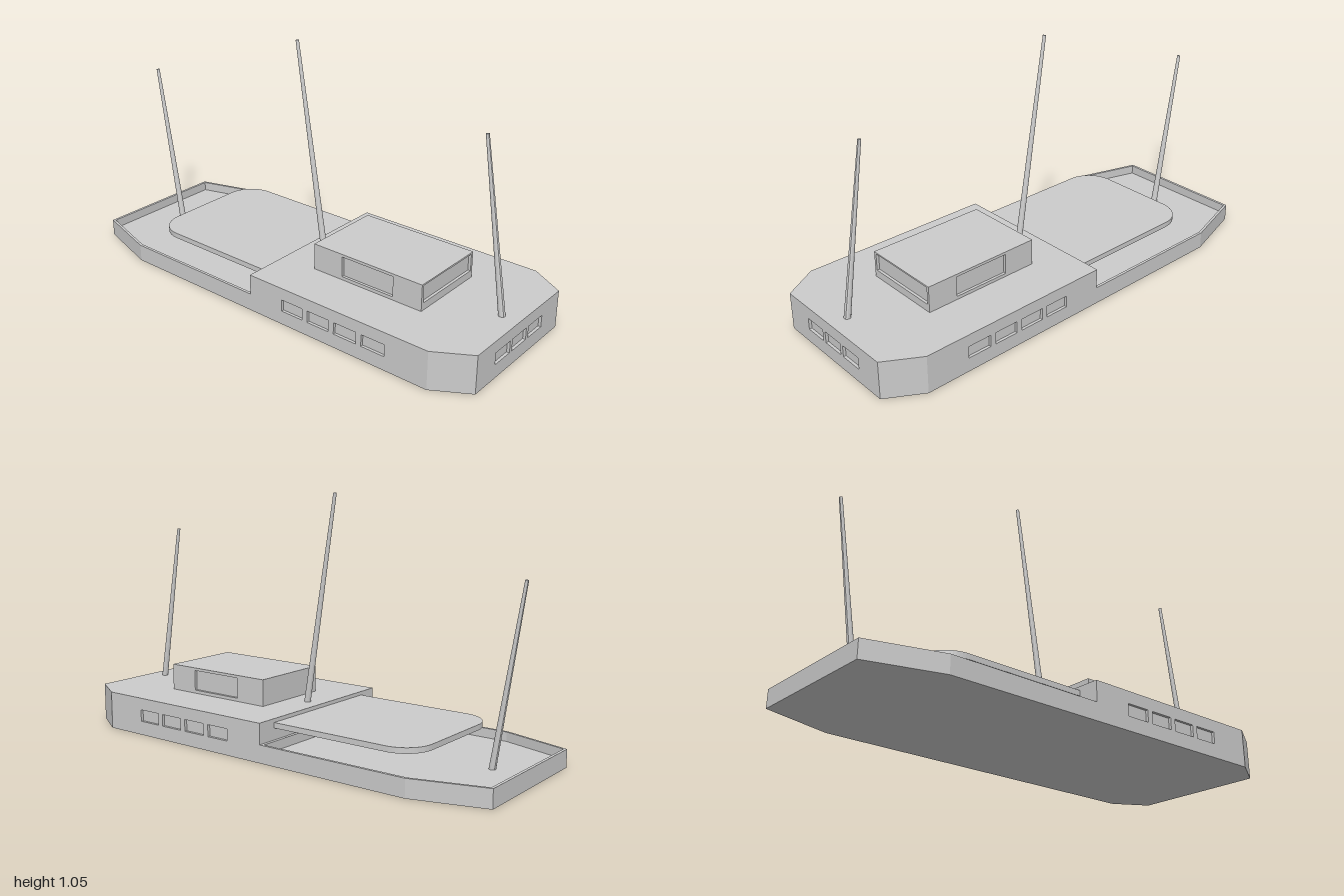
import * as THREE from 'three';

const material = new THREE.MeshStandardMaterial({ color: 0xcccccc, flatShading: true });
const WALL = 0.012;

function add(parent, name, geometry) {
  const mesh = new THREE.Mesh(geometry, material);
  mesh.name = name;
  parent.add(mesh);
  return mesh;
}

// Shapes are drawn as (x, -z) so that they lie flat after the turn.
const plan = (points) => new THREE.Shape(points.map(([x, z]) => new THREE.Vector2(x, -z)));

function slab(shape, y0, y1) {
  return new THREE.ExtrudeGeometry(shape, { depth: y1 - y0, bevelEnabled: false, curveSegments: 8 })
    .rotateX(-Math.PI / 2).translate(0, y0, 0);
}

// Rectangle as a path: [x0, x1, y0, y1]
function rect([x0, x1, y0, y1], Type = THREE.Path) {
  return new Type([[x0, y0], [x1, y0], [x1, y1], [x0, y1]].map(([x, y]) => new THREE.Vector2(x, y)));
}

// Solid block whose walls have recessed windows. The outline runs from front left of the
// picture plane (-x) to +x and then backwards; windows[i] lists openings along edge i.
function windowedBlock(name, outline, y0, y1, windows) {
  const group = new THREE.Group();
  group.name = name;
  const xs = outline.map((p) => p[0]), zs = outline.map((p) => p[1]);
  const hx = Math.max(...xs);
  const zc = (Math.max(...zs) + Math.min(...zs)) / 2, hz = Math.max(...zs) - zc;
  const inner = outline.map(([x, z]) => [x * (1 - WALL / hx), zc + (z - zc) * (1 - WALL / hz)]);
  add(group, 'core', slab(plan(inner), y0 + 0.001, y1 - 0.001));
  add(group, 'roof', new THREE.ShapeGeometry(plan(outline)).rotateX(-Math.PI / 2).translate(0, y1, 0));
  add(group, 'underside', new THREE.ShapeGeometry(plan(outline.map(([x, z]) => [x, -z])))
    .rotateX(Math.PI / 2).translate(0, y0, 0));
  outline.forEach(([ax, az], i) => {
    const [bx, bz] = outline[(i + 1) % outline.length];
    const shape = rect([0, Math.hypot(bx - ax, bz - az), y0, y1], THREE.Shape);
    (windows[i] || []).forEach((w) => shape.holes.push(rect(w)));
    const wall = add(group, 'wall', new THREE.ExtrudeGeometry(shape, { depth: WALL, bevelEnabled: false })
      .translate(0, 0, -WALL));
    wall.position.set(ax, 0, az);
    wall.rotation.y = Math.atan2(az - bz, bx - ax);
  });
  return group;
}

// Evenly spaced row of equal windows along one wall
const row = (count, start, pitch, width, y0, y1) =>
  Array.from({ length: count }, (_, i) => [start + i * pitch, start + i * pitch + width, y0, y1]);

export function createModel() {
  const model = new THREE.Group();
  model.name = 'boat';

  // Raised forward hull with three front windows and four on each side
  model.add(windowedBlock('forwardHull',
    [[-0.3, 1], [0.3, 1], [0.39, 0.85], [0.39, -0.02], [-0.39, -0.02], [-0.39, 0.85]], 0, 0.163, {
      0: row(3, 0.128, 0.12, 0.103, 0.06, 0.111),
      2: row(4, 0.19, 0.133, 0.108, 0.06, 0.111),
      4: row(4, 0.171, 0.133, 0.108, 0.06, 0.111),
    }));

  // Cabin with a wide windscreen and one window on each side
  model.add(windowedBlock('cabin',
    [[-0.18, 0.675], [0.177, 0.675], [0.177, 0.145], [-0.18, 0.145]], 0.16, 0.277, {
      0: [[0.007, 0.35, 0.195, 0.27]],
      1: [[0.135, 0.385, 0.177, 0.265]],
      3: [[0.145, 0.395, 0.177, 0.265]],
    }));

  // Low stern: rim around a sunken deck
  const rim = plan([[-0.39, -0.02], [0.39, -0.02], [0.39, -0.7], [0.3, -1], [-0.3, -1], [-0.39, -0.7]]);
  const well = [[-0.378, -0.034], [0.378, -0.034], [0.378, -0.7], [0.292, -0.988], [-0.292, -0.988], [-0.378, -0.7]];
  rim.holes.push(plan(well));
  add(model, 'sternRim', slab(rim, 0, 0.075));
  add(model, 'sternDeck', slab(plan(well), 0, 0.035));

  // Flat canopy with rounded rear corners
  const r = 0.125, canopy = new THREE.Shape();
  canopy.moveTo(-0.3, 0.02).lineTo(0.3, 0.02).lineTo(0.3, 0.68 - r);
  canopy.absarc(0.3 - r, 0.68 - r, r, 0, Math.PI / 2);
  canopy.absarc(r - 0.3, 0.68 - r, r, Math.PI / 2, Math.PI);
  canopy.closePath();
  add(model, 'canopy', slab(canopy, 0.124, 0.147));

  // Three tapered masts raked towards the stern: [base y, base z, top y, top z]
  const masts = { frontMast: [0.155, 0.925, 0.868, 0.81], middleMast: [0.155, 0.055, 1.052, -0.09], rearMast: [0.03, -0.832, 0.76, -0.95] };
  for (const [name, [y0, z0, y1, z1]] of Object.entries(masts)) {
    const mast = add(model, name, new THREE.CylinderGeometry(0.007, 0.014, Math.hypot(y1 - y0, z1 - z0), 12));
    mast.position.set(-0.008, (y0 + y1) / 2, (z0 + z1) / 2);
    mast.rotation.x = Math.atan2(z1 - z0, y1 - y0);
  }
  return model;
}
